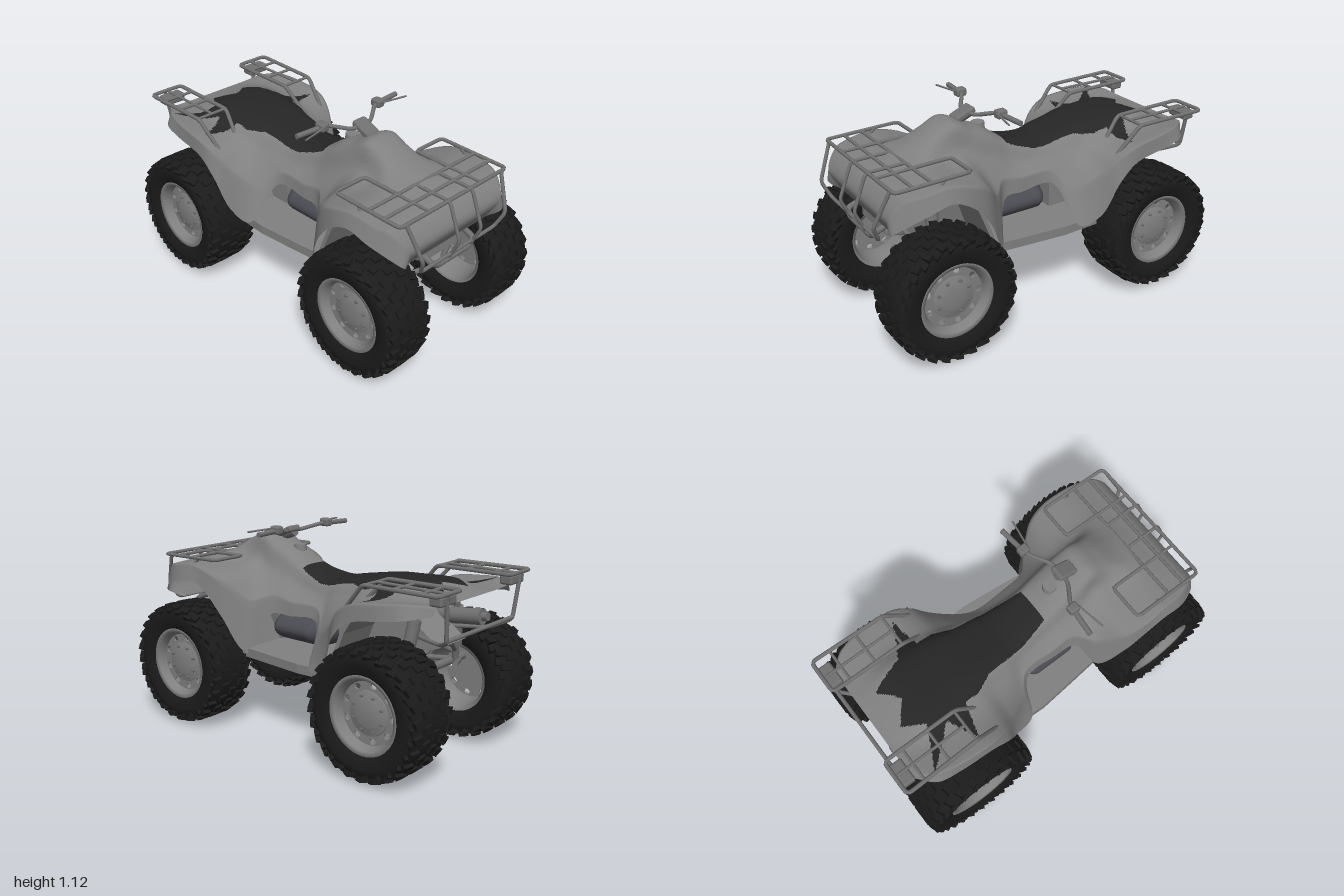
import * as THREE from 'three';
import { mergeGeometries } from 'three/addons/utils/BufferGeometryUtils.js';
import { RoundedBoxGeometry } from 'three/addons/geometries/RoundedBoxGeometry.js';

const mat = (name, color, side = THREE.DoubleSide) => {
  const m = new THREE.MeshStandardMaterial({ color, side });
  m.name = name;
  return m;
};
const body = mat('body grey', 0x808080);
const black = mat('seat black', 0x262626);
const rubber = mat('tyre rubber', 0x1b1b1b, THREE.FrontSide);
const metal = mat('rack metal', 0x707070);
const engineMat = mat('engine grey', 0x4a4a52);
const V = (x, y, z) => new THREE.Vector3(x, y, z);

function add(parent, name, geo, material, pos = [0, 0, 0]) {
  const m = new THREE.Mesh(geo, material);
  m.name = name;
  m.position.set(...pos);
  parent.add(m);
  return m;
}

// straight round bar between two points
function rod(parent, name, a, b, r, material = metal, sides = 10) {
  const p = V(...a), q = V(...b), d = q.clone().sub(p);
  const m = add(parent, name, new THREE.CylinderGeometry(r, r, d.length(), sides), material);
  m.position.copy(p).add(q).multiplyScalar(0.5);
  m.quaternion.setFromUnitVectors(V(0, 1, 0), d.normalize());
}

// bent bar through a list of points with tight corners
function bar(parent, name, pts, r = 0.01, material = metal) {
  const path = new THREE.CurvePath(), v = pts.map(p => V(...p));
  let last = v[0];
  for (let i = 1; i < v.length - 1; i++) {
    const cut = q => v[i].clone().add(q.clone().sub(v[i]).setLength(Math.min(0.025, q.distanceTo(v[i]) * 0.4)));
    const a = cut(v[i - 1]), b = cut(v[i + 1]);
    path.add(new THREE.LineCurve3(last, a));
    path.add(new THREE.QuadraticBezierCurve3(a, v[i], b));
    last = b;
  }
  path.add(new THREE.LineCurve3(last, v[v.length - 1]));
  add(parent, name, new THREE.TubeGeometry(path, pts.length * 14, r, 8), material);
}

// body sections: x, top y, then (z, y) for seat edge, shoulder, fender crest, lip
const rearSections = [
  [-0.91, 0.87, 0.10, 0.87, 0.20, 0.87, 0.33, 0.875, 0.34, 0.84],
  [-0.82, 0.89, 0.13, 0.885, 0.24, 0.87, 0.40, 0.89, 0.43, 0.82],
  [-0.70, 0.92, 0.16, 0.91, 0.26, 0.87, 0.435, 0.88, 0.45, 0.80],
  [-0.50, 0.92, 0.16, 0.905, 0.26, 0.85, 0.445, 0.85, 0.455, 0.76],
  [-0.40, 0.915, 0.15, 0.90, 0.25, 0.83, 0.42, 0.79, 0.45, 0.67],
  [-0.31, 0.90, 0.14, 0.885, 0.22, 0.80, 0.37, 0.69, 0.41, 0.48],
  [-0.19, 0.88, 0.13, 0.865, 0.19, 0.79, 0.30, 0.62, 0.38, 0.44],
  [-0.11, 0.87, 0.12, 0.85, 0.17, 0.78, 0.22, 0.72, 0.235, 0.655],
];
const frontSections = [
  [0.08, 0.90, 0.10, 0.885, 0.15, 0.80, 0.22, 0.73, 0.23, 0.655],
  [0.20, 0.98, 0.10, 0.95, 0.15, 0.85, 0.23, 0.75, 0.245, 0.65],
  [0.29, 1.02, 0.10, 0.99, 0.16, 0.87, 0.32, 0.72, 0.36, 0.45],
  [0.40, 1.065, 0.095, 1.045, 0.15, 0.915, 0.41, 0.83, 0.43, 0.64],
  [0.50, 1.03, 0.09, 1.01, 0.17, 0.91, 0.435, 0.875, 0.45, 0.76],
  [0.62, 0.96, 0.11, 0.945, 0.22, 0.915, 0.43, 0.90, 0.455, 0.82],
  [0.75, 0.905, 0.14, 0.90, 0.27, 0.895, 0.42, 0.885, 0.45, 0.79],
  [0.84, 0.87, 0.14, 0.87, 0.26, 0.87, 0.39, 0.865, 0.42, 0.75],
  [0.91, 0.77, 0.13, 0.77, 0.25, 0.77, 0.34, 0.77, 0.37, 0.70],
  [0.86, 0.66, 0.12, 0.66, 0.20, 0.66, 0.28, 0.66, 0.30, 0.66],
];
// outline of the seat cover seen from above, as (x, z)
const seatOutline = [[0.1, -0.1], [0.1, 0.1], [-0.05, 0.13], [-0.3, 0.155], [-0.4, 0.2], [-0.48, 0.2], [-0.53, 0.38],
  [-0.61, 0.22], [-0.81, 0.4], [-0.7, 0.18], [-0.81, 0.11], [-0.72, 0], [-0.81, -0.11], [-0.62, -0.18],
  [-0.52, -0.38], [-0.49, -0.2], [-0.4, -0.2], [-0.3, -0.155], [-0.05, -0.13]];

function inside(x, z) {
  let hit = false;
  seatOutline.forEach(([ax, az], i) => {
    const [bx, bz] = seatOutline[(i + 1) % seatOutline.length];
    if ((az > z) !== (bz > z) && x < ax + (bx - ax) * (z - az) / (bz - az)) hit = !hit;
  });
  return hit;
}

// shell lofted through the sections with a crisp fender crest; faces inside the outline form the seat
function bodyShell() {
  const sections = [...rearSections, ...frontSections];
  const columns = [-4, -3, -2, -1, 0, 1, 2, 3, 4].map(c => new THREE.CatmullRomCurve3(sections.map(s => {
    const k = Math.abs(c);
    return k ? V(s[0], s[2 * k + 1], Math.sign(c) * s[2 * k]) : V(s[0], s[1], 0);
  })));
  const rows = (sections.length - 1) * 14, n = 100, lip = 6, pos = [], grey = [], dark = [];
  for (let i = 0; i <= rows; i++) {
    const pts = columns.map(c => c.getPoint(i / rows));
    const top = new THREE.CatmullRomCurve3(pts.slice(1, 8));
    for (let j = 0; j <= n; j++) {
      const p = j < lip ? pts[0].clone().lerp(pts[1], j / lip)
        : j > n - lip ? pts[8].clone().lerp(pts[7], (n - j) / lip)
          : top.getPoint((j - lip) / (n - 2 * lip));
      pos.push(p.x, p.y, p.z);
    }
  }
  for (let i = 0; i < rows; i++) for (let j = 0; j < n; j++) {
    const a = i * (n + 1) + j, b = a + 1, c = a + n + 1, d = c + 1;
    for (const t of [[a, b, c], [b, d, c]]) {
      const mid = k => (pos[t[0] * 3 + k] + pos[t[1] * 3 + k] + pos[t[2] * 3 + k]) / 3;
      (inside(mid(0), mid(2)) ? dark : grey).push(...t);
    }
  }
  const g = new THREE.BufferGeometry();
  g.setAttribute('position', new THREE.Float32BufferAttribute(pos, 3));
  g.setIndex([...grey, ...dark]);
  g.addGroup(0, grey.length, 0);
  g.addGroup(grey.length, dark.length, 1);
  g.computeVertexNormals();
  return g;
}

// slab cut from a side profile, centred on z
function slab(pts, width) {
  const s = new THREE.Shape(pts.map(p => new THREE.Vector2(...p)));
  return new THREE.ExtrudeGeometry(s, { depth: width, bevelEnabled: false }).translate(0, 0, -width / 2);
}

// front keel narrows towards the ground
function keel() {
  const g = slab([[0.3, 0.41], [0.45, 0.41], [0.83, 0.58], [0.83, 0.68], [0.5, 0.82], [0.3, 0.8]], 0.26);
  const p = g.attributes.position;
  for (let i = 0; i < p.count; i++) p.setZ(i, p.getZ(i) * THREE.MathUtils.mapLinear(Math.min(p.getY(i), 0.58), 0.41, 0.58, 0.45, 1));
  g.computeVertexNormals();
  return g;
}

// wheel with its outer face towards +z; w is half the tyre width
function wheel(name, w) {
  const g = new THREE.Group();
  g.name = name;
  const lathe = pts => new THREE.LatheGeometry(pts.map(([r, h]) => new THREE.Vector2(r, h * w)), 48).rotateX(Math.PI / 2);
  const side = [[0.185, 0.78], [0.215, 0.9], [0.26, 0.98], [0.295, 0.95], [0.318, 0.8], [0.326, 0.5]];
  add(g, 'tyre', lathe([...side.map(([r, h]) => [r, -h]), [0.328, 0], ...side.slice().reverse()]), rubber);
  // tread blocks and shoulder lugs
  const lugs = [], count = 26;
  for (let i = 0; i < count; i++) for (const [h, len, off, r, tilt] of
    [[0, 0.32, 0, 0.328, 0], [0.42, 0.34, 0.5, 0.327, 0], [-0.42, 0.34, 0.5, 0.327, 0],
      [0.8, 0.32, 0, 0.319, 0.25], [-0.8, 0.32, 0, 0.319, -0.25], [0.94, 0.12, 0.5, 0.299, 0.5], [-0.94, 0.12, 0.5, 0.299, -0.5]]) {
    lugs.push(new THREE.BoxGeometry(0.038, 0.026, len * w).rotateX(tilt).rotateY(h * 0.4)
      .translate(0, r, h * w).rotateZ((i + off) / count * Math.PI * 2));
  }
  add(g, 'tread', mergeGeometries(lugs), rubber);
  add(g, 'rimBarrel', lathe([[0.19, -0.8], [0.172, -0.76], [0.16, 0], [0.16, 0.5], [0.178, 0.8], [0.2, 0.84], [0.196, 0.76]]), body);
  // pierced rim face
  const face = new THREE.Shape().absarc(0, 0, 0.162, 0, Math.PI * 2);
  for (let i = 0; i < 9; i++) {
    const a = i / 9 * Math.PI * 2;
    face.holes.push(new THREE.Path().absellipse(0.14 * Math.cos(a), 0.14 * Math.sin(a), 0.015, 0.018, 0, Math.PI * 2, true, a));
  }
  add(g, 'rimFace', new THREE.ExtrudeGeometry(face, { depth: 0.012, bevelEnabled: false, curveSegments: 24 }), body, [0, 0, w * 0.4]);
  add(g, 'hub', lathe([[0.115, 0.46], [0.11, 0.54], [0.072, 0.54], [0.067, 0.62], [0, 0.62]]), body);
  for (let i = 0; i < 8; i++) {
    const a = (i + 0.5) / 4 * Math.PI;
    add(g, 'wheelNut', new THREE.CylinderGeometry(0.008, 0.008, 0.02, 6).rotateX(Math.PI / 2), metal,
      [0.091 * Math.cos(a), 0.091 * Math.sin(a), w * 0.56]);
  }
  return g;
}

export function createModel() {
  const root = new THREE.Group();
  root.name = 'quadBike';
  add(root, 'bodyShellAndSeat', bodyShell(), [body, black]);

  // floor, chassis, wheel arch linings and engine
  const floor = new THREE.Shape([[-0.32, -0.36], [-0.1, -0.37], [0.12, -0.35], [0.32, -0.33],
    [0.32, 0.33], [0.12, 0.35], [-0.1, 0.37], [-0.32, 0.36]].map(p => new THREE.Vector2(...p)));
  add(root, 'floor', new THREE.ExtrudeGeometry(floor, { depth: 0.05, bevelEnabled: false }).rotateX(-Math.PI / 2), body, [0, 0.407, 0]);
  add(root, 'rearChassis', slab([[-0.8, 0.62], [-0.3, 0.42], [-0.17, 0.42], [-0.17, 0.76], [-0.6, 0.76]], 0.24), body);
  add(root, 'frontKeel', keel(), body);
  add(root, 'frontArchLining', slab([[0.3, 0.43], [0.32, 0.43], [0.42, 0.68], [0.5, 0.8], [0.48, 0.81], [0.4, 0.69]], 0.7), body);
  add(root, 'rearArchLining', slab([[-0.3, 0.43], [-0.28, 0.43], [-0.38, 0.68], [-0.46, 0.8], [-0.48, 0.79], [-0.4, 0.67]], 0.72), body);
  add(root, 'engine', new THREE.CapsuleGeometry(0.095, 0.2, 10, 28).rotateZ(Math.PI / 2).scale(1, 1, 2.45), engineMat, [0.075, 0.573, 0]);

  // wheels
  for (const [name, x, z, w] of [['leftFrontWheel', 0.655, -0.418, 0.134], ['rightFrontWheel', 0.655, 0.372, 0.134],
    ['leftRearWheel', -0.64, -0.387, 0.15], ['rightRearWheel', -0.64, 0.396, 0.15]]) {
    const wh = wheel(name.replace(/left|right/, z < 0 ? 'right' : 'left'), w);
    wh.position.set(x, 0.345, z);
    if (z < 0) wh.rotation.y = Math.PI;
    root.add(wh);
  }
  rod(root, 'rearAxle', [-0.64, 0.445, -0.36], [-0.64, 0.445, 0.36], 0.022);

  for (const s of [-1, 1]) {
    // suspension
    for (const x of [0.655, -0.64]) {
      for (const dx of [-0.12, 0.12]) {
        rod(root, 'lowerArm', [x + dx, 0.48, 0.09 * s], [x, 0.43, 0.33 * s], 0.014);
        rod(root, 'upperArm', [x + dx * 0.7, 0.59, 0.1 * s], [x, 0.47, 0.3 * s], 0.013);
      }
      rod(root, 'shock', [x - 0.02, 0.44, 0.25 * s], [x - 0.07, 0.84, 0.17 * s], 0.018);
      rod(root, 'shockSpring', [x - 0.035, 0.54, 0.227 * s], [x - 0.06, 0.76, 0.185 * s], 0.034);
    }
    // front rack side loop and guard
    bar(root, 'frontRackLoop', [[0.69, 0.925, 0.19 * s], [0.48, 0.93, 0.19 * s], [0.48, 0.93, 0.39 * s], [0.89, 0.92, 0.39 * s], [0.89, 0.92, 0]]);
    rod(root, 'frontRackRail', [0.48, 0.93, 0.19 * s], [0.89, 0.92, 0.19 * s], 0.008);
    bar(root, 'frontGuardSide', [[0.89, 0.92, 0.35 * s], [0.97, 0.73, 0.31 * s], [0.93, 0.645, 0.28 * s], [0.93, 0.645, 0]]);
    const zu = 0.083 * s - 0.027;
    bar(root, 'frontGuardUpright', [[0.69, 0.922, zu], [0.9, 0.92, zu], [0.975, 0.73, zu], [0.92, 0.62, zu]], 0.009);
    rod(root, 'frontRackLeg', [0.62, 0.925, 0.38 * s], [0.7, 0.84, 0.41 * s], 0.009);
    bar(root, 'bumperTube', [[0.8, 0.66, 0.16 * s], [0.9, 0.62, 0.16 * s], [0.9, 0.59, 0.12 * s], [0.9, 0.59, 0]], 0.016);
    // rear rack
    bar(root, 'rearRackLoop', [[-0.42, 0.8, 0.38 * s], [-0.55, 0.945, 0.405 * s], [-0.975, 0.95, 0.415 * s],
      [-0.975, 0.95, 0.22 * s], [-0.55, 0.945, 0.22 * s], [-0.42, 0.8, 0.25 * s]], 0.011);
    rod(root, 'rearRackFoot', [-0.42, 0.8, 0.25 * s], [-0.42, 0.8, 0.38 * s], 0.01);
    for (const x of [-0.87, -0.72, -0.56]) rod(root, 'rearRackSlat', [x, 0.945, 0.22 * s], [x, 0.945, 0.41 * s], 0.008);
    rod(root, 'rearRackRail', [-0.96, 0.945, 0.31 * s], [-0.56, 0.945, 0.31 * s], 0.008);
    bar(root, 'rearBumper', [[-0.97, 0.94, 0.33 * s], [-0.955, 0.71, 0.3 * s], [-0.87, 0.67, 0.22 * s], [-0.6, 0.66, 0.1 * s]], 0.011);
    add(root, 'rearLamp', new RoundedBoxGeometry(0.07, 0.05, 0.13, 3, 0.012), metal, [-0.935, 0.915, 0.31 * s]);
    // handlebar half
    bar(root, 'handlebar', [[0.28, 1.07, 0], [0.27, 1.07, 0.07 * s], [0.2, 1.1, 0.17 * s], [0.18, 1.097, 0.35 * s]], 0.011);
    rod(root, 'grip', [0.19, 1.098, 0.23 * s], [0.178, 1.096, 0.355 * s], 0.014);
    add(root, 'switchBox', new RoundedBoxGeometry(0.06, 0.045, 0.05, 3, 0.012), metal, [0.195, 1.103, 0.2 * s]);
    rod(root, 'brakeLever', [0.22, 1.11, 0.19 * s], [0.25, 1.105, 0.36 * s], 0.005);
  }
  for (const x of [0.69, 0.79]) rod(root, 'frontRackSlat', [x, 0.922, -0.39], [x, 0.922, 0.39], 0.009);
  rod(root, 'rearCrossBar', [-0.955, 0.72, -0.3], [-0.955, 0.72, 0.3], 0.011);

  // steering head, fuel cap, exhaust
  rod(root, 'steeringColumn', [0.38, 1.02, 0], [0.25, 1.07, 0], 0.028);
  add(root, 'handlebarPad', new RoundedBoxGeometry(0.12, 0.035, 0.085, 3, 0.012), metal, [0.3, 1.065, 0]).rotation.z = -0.4;
  add(root, 'fuelCap', new THREE.CylinderGeometry(0.035, 0.038, 0.035, 20), body, [0.21, 0.985, 0]);
  rod(root, 'exhaust', [-0.88, 0.74, 0.14], [-0.6, 0.71, 0.14], 0.042, metal, 20);
  rod(root, 'exhaustTip', [-0.91, 0.745, 0.14], [-0.87, 0.74, 0.14], 0.022, metal, 14);
  return root;
}
